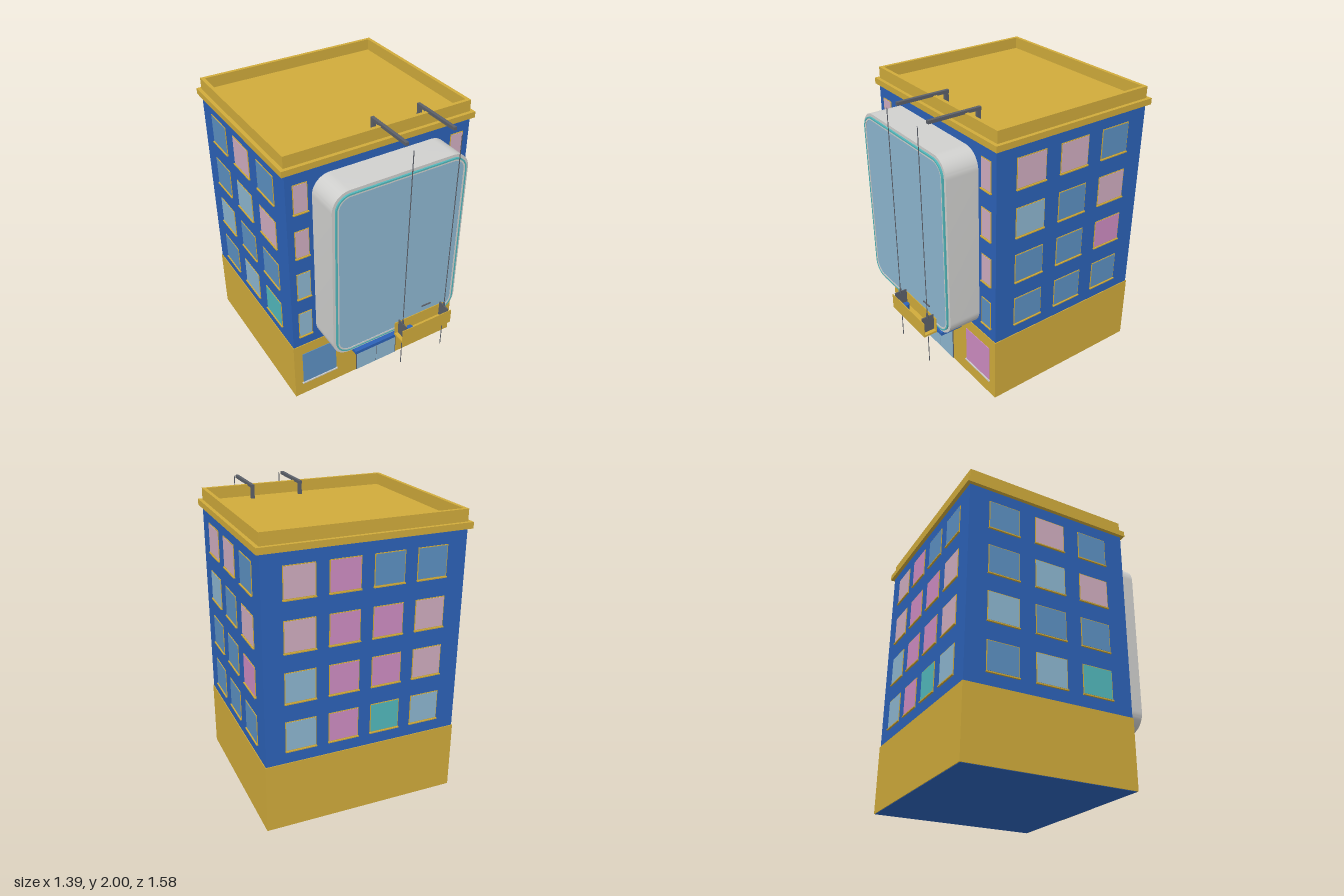
import * as THREE from 'three';
import { toCreasedNormals } from 'three/addons/utils/BufferGeometryUtils.js';

const mat = (name, color, side = THREE.FrontSide) => {
  const m = new THREE.MeshStandardMaterial({ color, side });
  m.name = name;
  return m;
};

export function createModel() {
  const gold = mat('gold', 0xd0ab3b);
  const blue = mat('wallBlue', 0x2c62b8);
  const paleGlass = mat('paleGlass', 0x8db6d0);
  const blueGlass = mat('blueGlass', 0x5c90c2);
  const palePink = mat('palePink', 0xd0adc0);
  const magenta = mat('magenta', 0xce8cc2);
  const teal = mat('teal', 0x52b8bc);
  const grey = mat('paleGrey', 0xd0d0ce);
  const dark = mat('steel', 0x5c6069);
  const glassByKey = { L: paleGlass, B: blueGlass, P: palePink, M: magenta, T: teal };

  const model = new THREE.Group();
  model.name = 'building';

  const add = (name, geo, material, x, y, z, parent = model) => {
    const mesh = new THREE.Mesh(geo, material);
    mesh.name = name;
    mesh.position.set(x, y, z);
    parent.add(mesh);
    return mesh;
  };
  // box given by its limits on each axis
  const box = (name, material, x0, x1, y0, y1, z0, z1, parent = model) =>
    add(name, new THREE.BoxGeometry(x1 - x0, y1 - y0, z1 - z0), material,
      (x0 + x1) / 2, (y0 + y1) / 2, (z0 + z1) / 2, parent);
  const group = (name, parent = model) => {
    const g = new THREE.Group();
    g.name = name;
    parent.add(g);
    return g;
  };

  // main volumes
  box('walls', blue, -0.67, 0.67, 0, 1.87, -0.765, 0.43);
  box('groundFloor', gold, -0.675, 0.675, 0.002, 0.48, -0.77, 0.435);
  box('cornice', gold, -0.695, 0.695, 1.865, 1.906, -0.79, 0.45);

  // parapet around the roof
  const parapet = group('parapet');
  for (const s of [-1, 1]) {
    box('parapetSide', gold, s * 0.6575 - 0.0125, s * 0.6575 + 0.0125, 1.906, 1.985, -0.765, 0.425, parapet);
    const z = -0.17 + s * 0.5825;
    box('parapetEnd', gold, -0.645, 0.645, 1.906, 1.985, z - 0.0125, z + 0.0125, parapet);
  }

  // upper windows: one key per pane, rows run from top to bottom, columns left to right seen from outside
  const rowY = [1.675, 1.34, 1.005, 0.67];
  const windowWall = (name, columns, width, rows, angle, x, z) => {
    const wall = group(name);
    wall.position.set(x, 0, z);
    wall.rotation.y = angle;
    rows.forEach((keys, r) => columns.forEach((u, c) => {
      const y = rowY[r];
      box('windowFrame', gold, u - width / 2, u + width / 2, y - 0.105, y + 0.105, -0.001, 0.004, wall);
      box('windowPane', glassByKey[keys[c]], u - width / 2 + 0.005, u + width / 2 - 0.005,
        y - 0.095, y + 0.1, 0, 0.006, wall);
      box('windowSill', gold, u - width / 2 - 0.003, u + width / 2 + 0.003, y - 0.108, y - 0.1, 0, 0.012, wall);
    }));
  };
  const sideColumns = [-0.34, 0, 0.34];
  windowWall('frontWindows', [-0.573, 0.573], 0.1, ['PP', 'PP', 'LP', 'LB'], 0, 0, 0.43);
  windowWall('leftWindows', sideColumns, 0.225, ['PPB', 'LBP', 'BBM', 'BBB'], Math.PI / 2, 0.67, -0.17);
  windowWall('rightWindows', sideColumns, 0.225, ['BPB', 'BLP', 'LBB', 'BLT'], -Math.PI / 2, -0.67, -0.17);
  windowWall('backWindows', [-0.435, -0.145, 0.145, 0.435], 0.205,
    ['PMBB', 'PMMP', 'LMMP', 'LMTL'], Math.PI, 0, -0.765);

  // shop windows with pale sills
  for (const [s, material] of [[-1, blueGlass], [1, magenta]]) {
    const x = s * 0.477;
    box('shopWindow', material, x - 0.133, x + 0.133, 0.122, 0.395, 0.433, 0.439);
    box('shopSill', grey, x - 0.142, x + 0.142, 0.11, 0.12, 0.433, 0.445);
  }

  // entrance: frame, two door leaves and canopy
  box('doorFrame', dark, -0.175, 0.175, 0.002, 0.34, 0.433, 0.438);
  for (const s of [-1, 1])
    box('doorLeaf', paleGlass, s * 0.085 - 0.082, s * 0.085 + 0.082, 0.006, 0.334, 0.434, 0.442);
  box('lintel', gold, -0.2, 0.2, 0.345, 0.362, 0.43, 0.455);
  box('canopy', blue, -0.28, 0.28, 0.362, 0.388, 0.43, 0.6);

  // bay window with rounded corners
  const rounded = (C, w, h, r) => {
    const p = new C();
    const x = w / 2 - r, y = h / 2 - r;
    p.absarc(x, y, r, 0, Math.PI / 2);
    p.absarc(-x, y, r, Math.PI / 2, Math.PI);
    p.absarc(-x, -y, r, Math.PI, Math.PI * 1.5);
    p.absarc(x, -y, r, Math.PI * 1.5, Math.PI * 2);
    p.closePath();
    return p;
  };
  const W = 0.985, H = 1.292, R = 0.125;
  // slab inset by a, with a hole inset by b when given
  const baySlab = (name, material, a, b, z0, z1) => {
    const shape = rounded(THREE.Shape, W - 2 * a, H - 2 * a, R - a);
    if (b) shape.holes.push(rounded(THREE.Path, W - 2 * b, H - 2 * b, R - b));
    const geo = new THREE.ExtrudeGeometry(shape, { depth: z1 - z0, bevelEnabled: false, curveSegments: 10 });
    add(name, toCreasedNormals(geo, 0.6), material, 0, 1.149, z0, bay);
  };
  const bay = group('bayWindow');
  baySlab('bayBody', grey, 0, 0, 0.43, 0.66);
  baySlab('bayTrim', teal, 0.02, 0.03, 0.658, 0.672);
  baySlab('bayInnerRim', grey, 0.03, 0.041, 0.658, 0.67);
  baySlab('bayGlass', paleGlass, 0.041, 0, 0.658, 0.667);

  // roof davits, cables and hoist plates of the cleaning cradle
  const cradle = group('cleaningCradle');
  for (const x of [0, 0.345]) {
    box('davitArm', dark, x - 0.011, x + 0.011, 1.979, 2, 0.307, 0.677, cradle);
    box('davitPost', dark, x - 0.011, x + 0.011, 1.906, 1.98, 0.31, 0.335, cradle);
    add('cable', new THREE.CylinderGeometry(0.003, 0.003, 1.715, 6), dark, x, 1.1225, 0.743, cradle);
    box('hoistPlate', dark, x - 0.004, x + 0.004, 0.52, 0.637, 0.697, 0.786, cradle);
    add('cableClamp', new THREE.CylinderGeometry(0.007, 0.007, 0.04, 8), dark, x, 0.645, 0.743, cradle);
  }

  // cradle tray, bucket and squeegee
  box('cradleFloor', gold, -0.03, 0.375, 0.505, 0.52, 0.692, 0.79, cradle);
  box('cradleFront', gold, -0.03, 0.375, 0.52, 0.616, 0.785, 0.79, cradle);
  box('cradleBack', gold, -0.03, 0.375, 0.52, 0.616, 0.692, 0.697, cradle);
  add('bucket', new THREE.CylinderGeometry(0.022, 0.018, 0.05, 14), blue, 0.065, 0.545, 0.74, cradle);
  box('squeegee', dark, 0.2, 0.275, 0.645, 0.652, 0.677, 0.685, cradle);

  return model;
}
